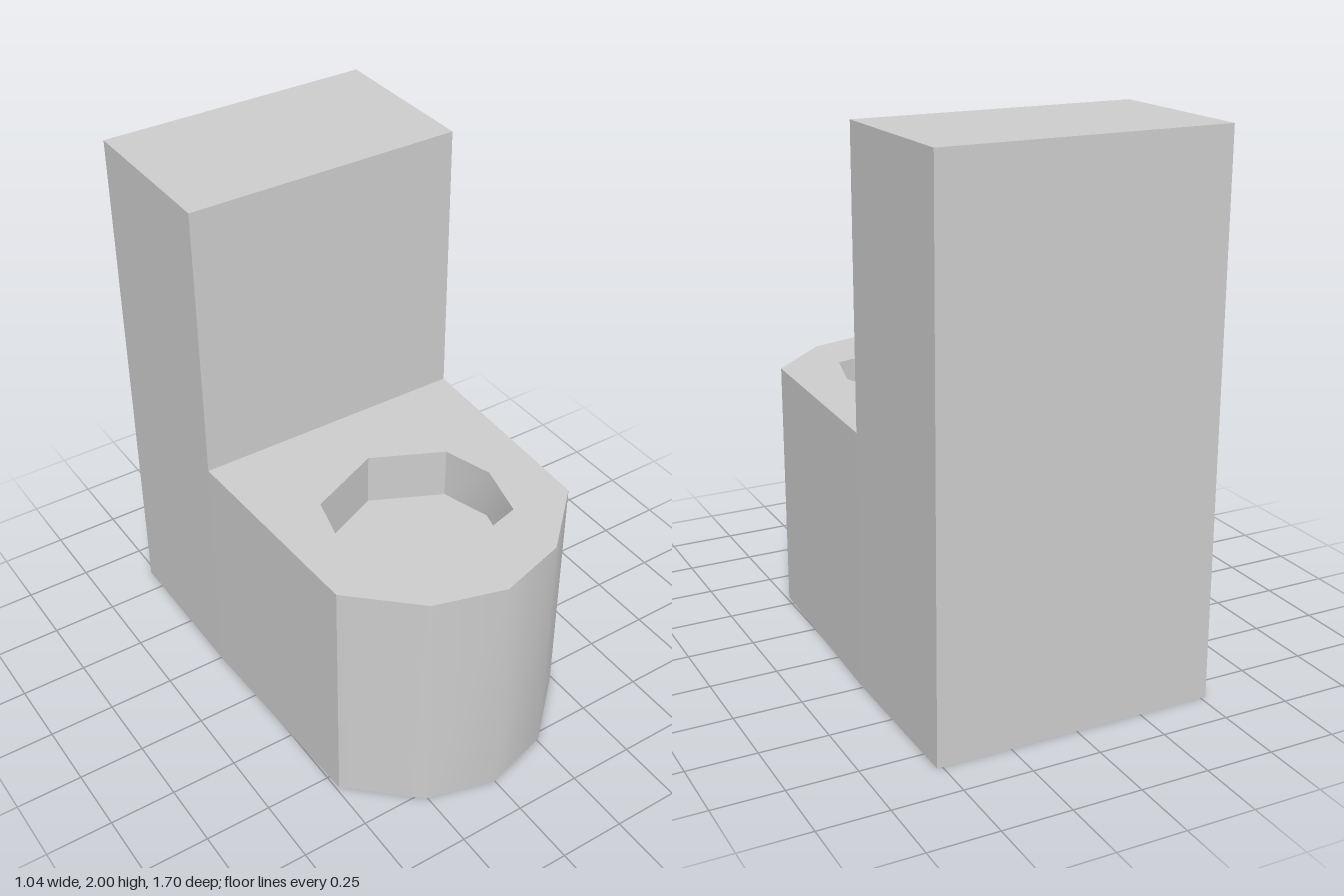
import * as THREE from 'three';
import { toCreasedNormals } from 'three/addons/utils/BufferGeometryUtils.js';

const material = new THREE.MeshStandardMaterial({ color: 0xcccccc });
const STEP = 0.95, TOP = 2, POCKET_FLOOR = 0.75;

// Vertical wall along a path of [x, z]; it faces +z where the path runs towards +x
function wall(path, y0, y1) {
  const pos = [];
  for (let i = 0; i < path.length - 1; i++) {
    const [ax, az] = path[i], [bx, bz] = path[i + 1];
    pos.push(ax, y0, az, bx, y0, bz, bx, y1, bz, ax, y0, az, bx, y1, bz, ax, y1, az);
  }
  const g = new THREE.BufferGeometry();
  g.setAttribute('position', new THREE.Float32BufferAttribute(pos, 3));
  return toCreasedNormals(g, 0.65);
}

// Flat horizontal face of an [x, z] outline, facing up or down
function cap(outline, y, up = true, hole = null) {
  const flat = (pts) => pts.map(([x, z]) => new THREE.Vector2(x, up ? -z : z));
  const shape = new THREE.Shape(flat(outline));
  if (hole) shape.holes.push(new THREE.Path(flat(hole)));
  return new THREE.ShapeGeometry(shape).rotateX(up ? -Math.PI / 2 : Math.PI / 2).translate(0, y, 0);
}

export function createModel() {
  const model = new THREE.Group();
  const part = (name, ...geometries) => {
    const group = new THREE.Group();
    group.name = name;
    for (const g of geometries) group.add(new THREE.Mesh(g, material));
    model.add(group);
  };

  // Faceted rounded front, from the left half mirrored
  const half = [[0.26, 0.775], [0.488, 0.56], [0.52, -0.24]];
  const mirrored = half.map(([x, z]) => [-x, z]).reverse();
  const front = [...mirrored, [0, 0.85], ...half];
  const back = [[0.52, -0.24], [0.52, -0.85], [-0.52, -0.85], [-0.52, -0.24]];

  // Slightly irregular eight-sided recess
  const recess = [[0, 0.015], [0.258, 0.14], [0.315, 0.325], [0.262, 0.535],
    [0, 0.605], [-0.258, 0.527], [-0.33, 0.32], [-0.284, 0.14]];

  part('seatBlock', wall(front, 0, STEP), cap(front, STEP, true, recess));
  part('recess', wall([...recess, recess[0]], POCKET_FLOOR, STEP), cap(recess, POCKET_FLOOR));
  part('backrest', wall(back, 0, TOP), wall([back[3], back[0]], STEP, TOP), cap(back, TOP));
  part('underside', cap([...front, back[1], back[2]], 0, false));
  return model;
}
